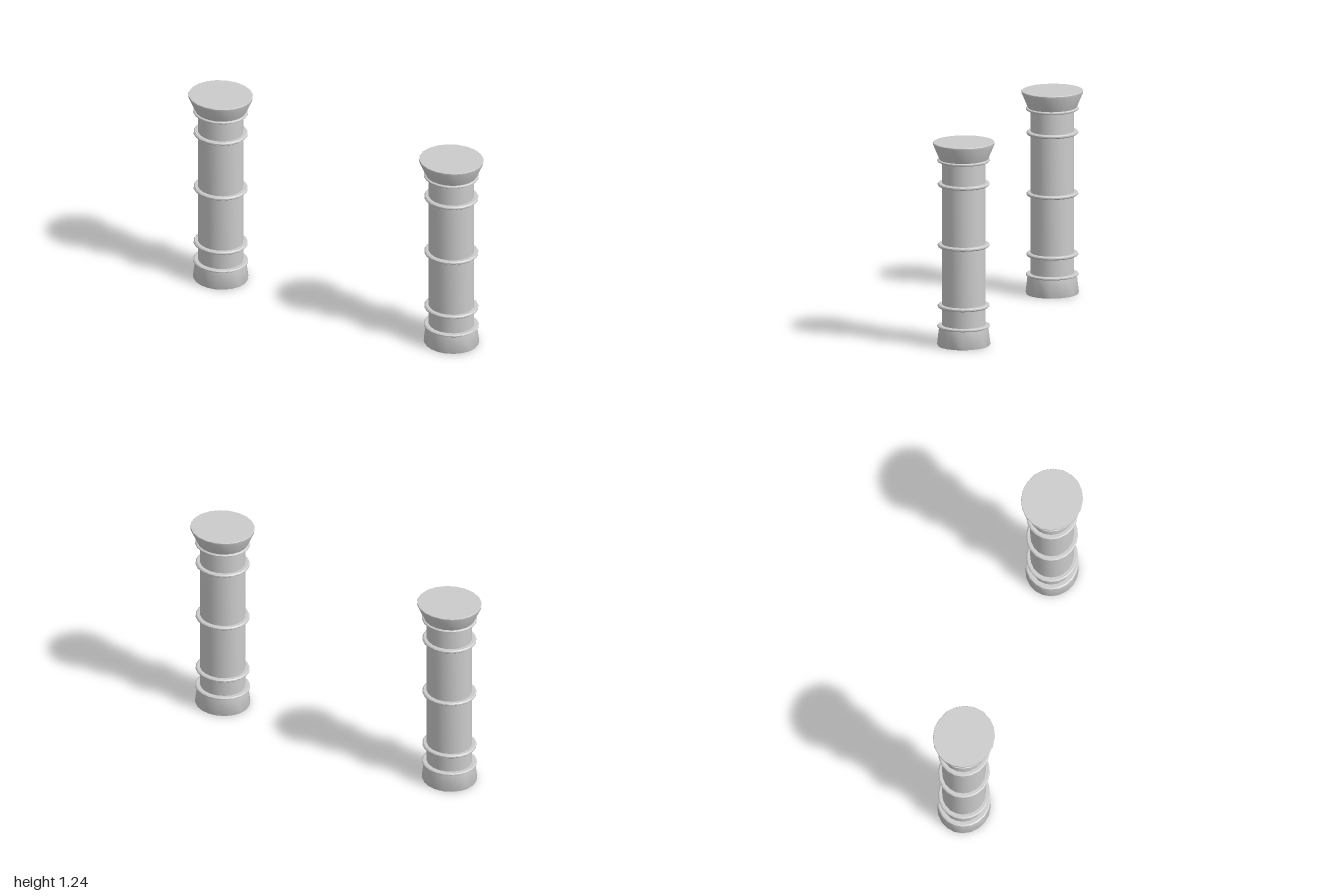
import * as THREE from 'three';
import { toCreasedNormals } from 'three/addons/utils/BufferGeometryUtils.js';

const SIDES = 20;
const material = new THREE.MeshStandardMaterial({ color: 0xcccccc });

// Turned part from [radius, height] pairs, listed bottom to top
function turned(name, profile) {
  const points = profile.map(([r, y]) => new THREE.Vector2(r, y));
  const geometry = toCreasedNormals(new THREE.LatheGeometry(points, SIDES), 0.6);
  const mesh = new THREE.Mesh(geometry, material);
  mesh.name = name;
  return mesh;
}

// Rounded band around the shaft, centred on height y
function band(name, y, radius, half) {
  return turned(name, [
    [0.125, y - half], [radius - 0.007, y - half], [radius, y - half * 0.4],
    [radius, y + half * 0.4], [radius - 0.007, y + half], [0.125, y + half],
  ]);
}

function createColumn(name) {
  const column = new THREE.Group();
  column.name = name;

  // Flared foot, closed underneath
  column.add(turned('base', [
    [0, 0], [0.156, 0], [0.159, 0.008], [0.147, 0.112], [0.125, 0.118],
  ]));
  column.add(turned('shaft', [[0.13, 0.1], [0.13, 1.15]]));

  // Flared head with a closed flat top
  column.add(turned('capital', [
    [0.125, 1.136], [0.145, 1.138], [0.184, 1.23], [0.185, 1.241], [0.183, 1.244], [0, 1.244],
  ]));

  // Thin collars at foot and head, thicker bands along the shaft
  column.add(band('baseCollar', 0.118, 0.158, 0.008));
  column.add(band('capitalCollar', 1.133, 0.158, 0.008));
  [0.242, 0.613, 0.987].forEach((y, i) => column.add(band(`shaftBand${i + 1}`, y, 0.155, 0.01)));

  // The columns are slightly wider than deep
  column.scale.x = 1.07;
  return column;
}

export function createModel() {
  const model = new THREE.Group();
  model.name = 'columnPair';
  for (const [name, side] of [['leftColumn', 1], ['rightColumn', -1]]) {
    const column = createColumn(name);
    column.position.x = side * 0.802;
    model.add(column);
  }
  return model;
}
